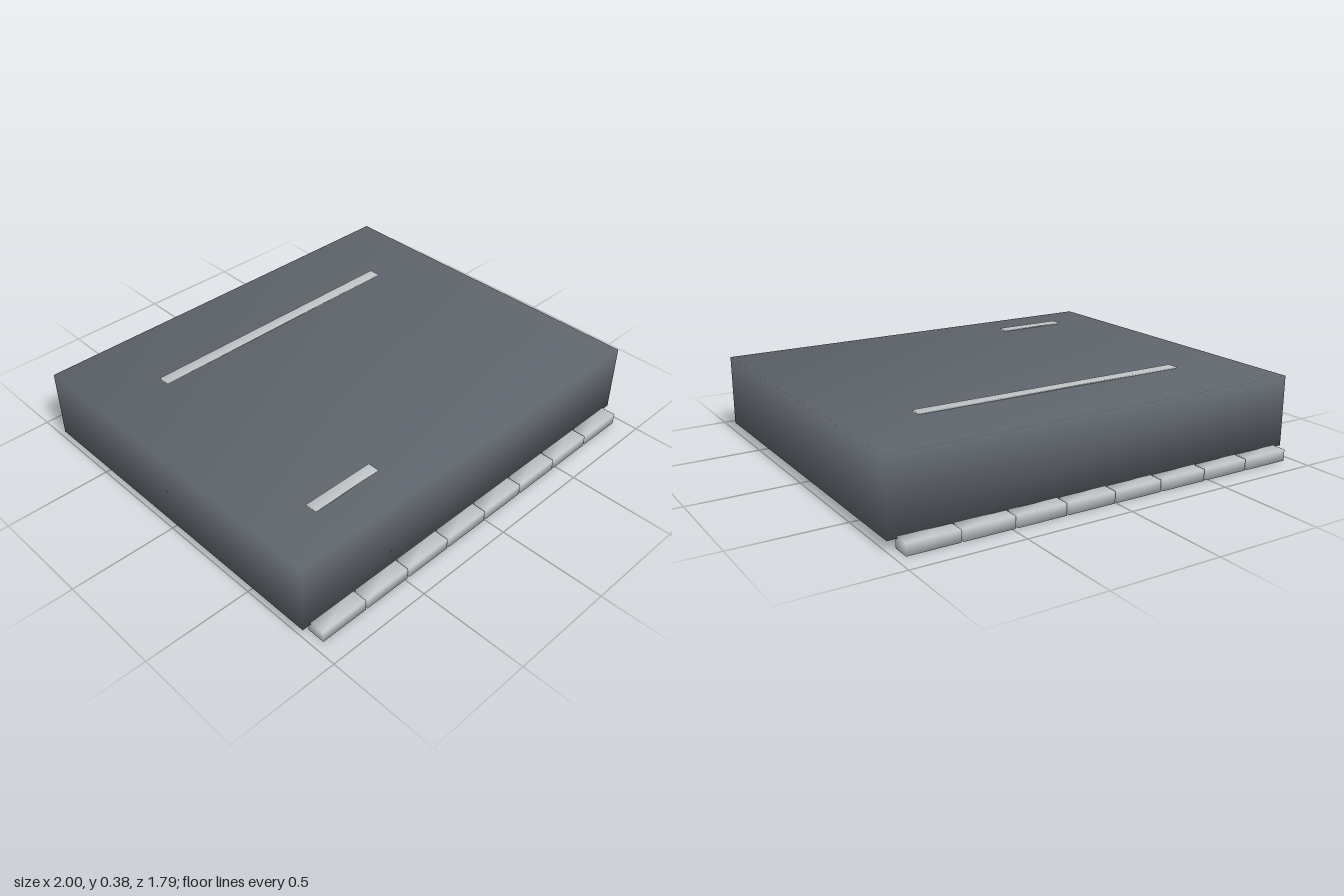
import * as THREE from 'three';
import { mergeVertices } from 'three/addons/utils/BufferGeometryUtils.js';

// Box given by its limits, with normals shared across its corners for soft shading
function softBox(x0, x1, y0, y1, z0, z1) {
  const box = new THREE.BoxGeometry(x1 - x0, y1 - y0, z1 - z0);
  box.translate((x0 + x1) / 2, (y0 + y1) / 2, (z0 + z1) / 2);
  box.deleteAttribute('normal');
  box.deleteAttribute('uv');
  const geometry = mergeVertices(box);
  geometry.clearGroups();
  geometry.computeVertexNormals();
  return geometry;
}

export function createModel() {
  const model = new THREE.Group();
  model.name = 'chip';

  const casing = new THREE.MeshStandardMaterial({ color: 0x5e646b });
  casing.name = 'dark grey casing';
  const metal = new THREE.MeshStandardMaterial({ color: 0xbdc2c4 });
  metal.name = 'silver metal';

  function add(name, geometry, material, parent = model) {
    const mesh = new THREE.Mesh(geometry, material);
    mesh.name = name;
    parent.add(mesh);
  }

  // Casing
  add('body', softBox(-1, 1, 0.045, 0.375, -0.828, 0.828), casing);

  // Thin raised bars on top
  add('longMarking', softBox(-0.672, 0.67, 0.373, 0.382, -0.468, -0.415), metal);
  add('shortMarking', softBox(-0.755, -0.413, 0.373, 0.382, 0.592, 0.645), metal);

  // Eight contact pads along the front and the back
  const padCount = 8, pitch = 0.2405, halfWidth = 0.115;
  for (const side of [1, -1]) {
    const row = new THREE.Group();
    row.name = side > 0 ? 'frontPads' : 'backPads';
    model.add(row);
    const z0 = side > 0 ? 0.813 : -0.896;
    for (let i = 0; i < padCount; i++) {
      const x = (i - (padCount - 1) / 2) * pitch;
      add('pad', softBox(x - halfWidth, x + halfWidth, 0, 0.053, z0, z0 + 0.083), metal, row);
    }
  }
  return model;
}
